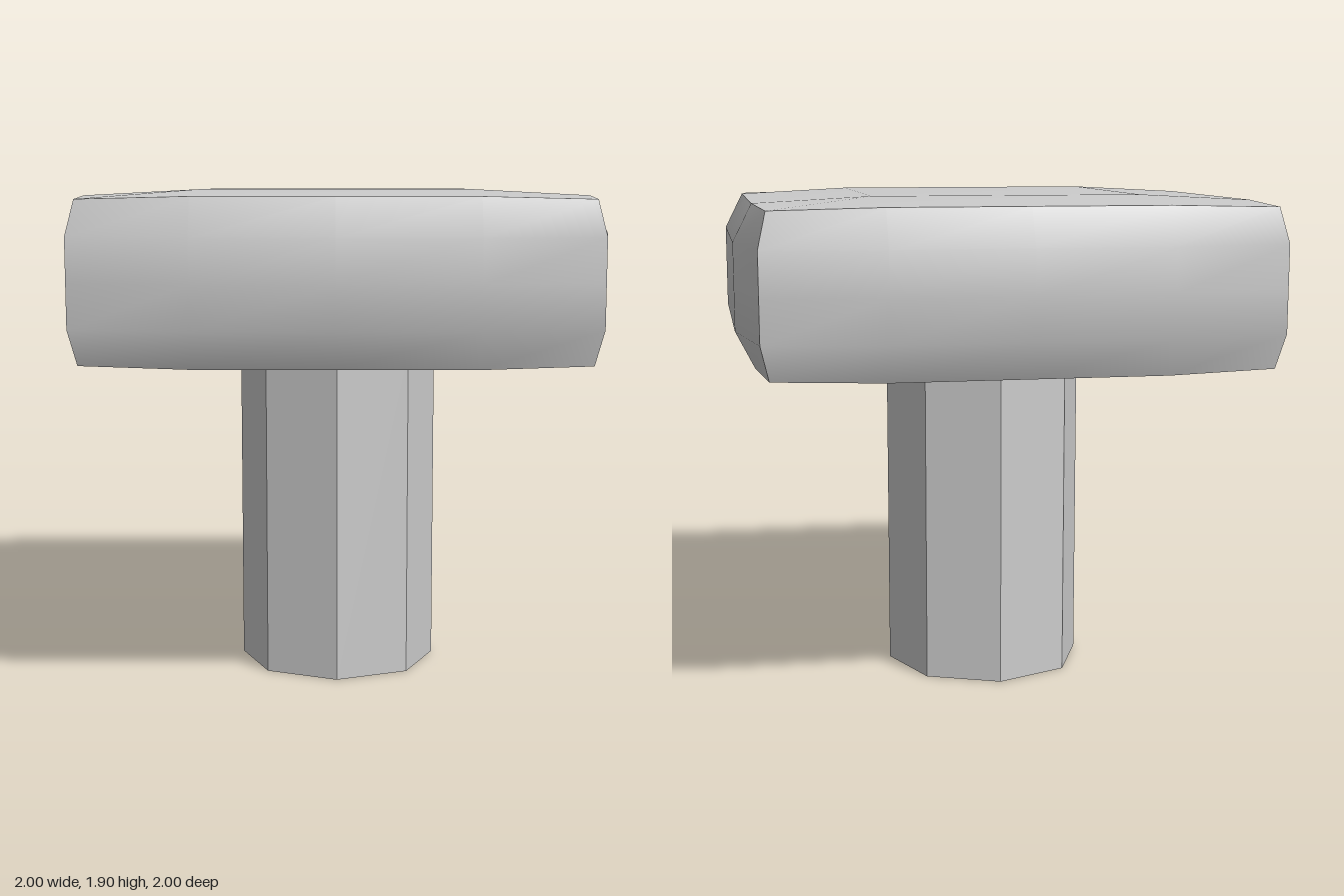
import * as THREE from 'three';

const material = () => new THREE.MeshStandardMaterial({ color: 0xcccccc });

// Box whose edges and corners are drawn in slightly; each face stays smooth, edges sharp
function pillowBox(width, height, depth) {
  const geometry = new THREE.BoxGeometry(2, 2, 2, 4, 4, 4);
  const pos = geometry.attributes.position;
  const inset = [1, 1, 0.93, 0.9]; // by how many coordinates lie on the hull
  const p = new THREE.Vector3();
  for (let i = 0; i < pos.count; i++) {
    p.fromBufferAttribute(pos, i);
    const onHull = p.toArray().map((c) => Math.abs(c) > 0.99);
    const scale = inset[onHull.filter(Boolean).length];
    const [x, y, z] = p.toArray().map((c, k) => (onHull[k] ? c * scale : c));
    pos.setXYZ(i, (x * width) / 2, (y * height) / 2, (z * depth) / 2);
  }
  geometry.computeVertexNormals();
  return geometry;
}

export function createModel() {
  const group = new THREE.Group();
  group.name = 'mallet';

  // Octagonal post, corners pointing along the axes
  const postHeight = 1.28;
  const postMaterial = material();
  postMaterial.flatShading = true;
  const post = new THREE.Mesh(new THREE.CylinderGeometry(0.39, 0.39, postHeight, 8), postMaterial);
  post.name = 'post';
  post.position.y = postHeight / 2;

  // Thick square head with softly bulging faces
  const head = new THREE.Mesh(pillowBox(2, 0.64, 2), material());
  head.name = 'head';
  head.position.y = 1.585;

  group.add(post, head);
  return group;
}
